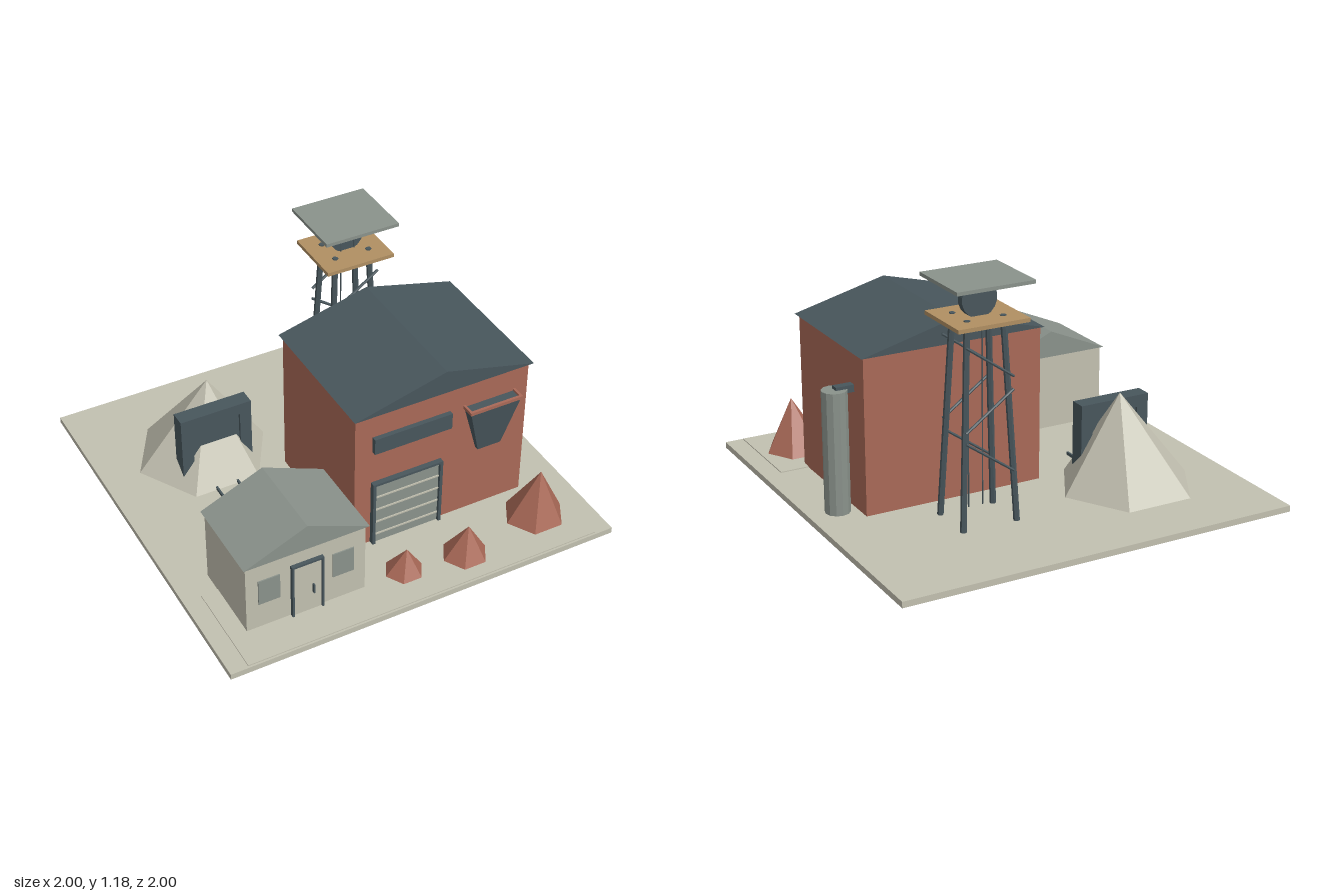
import * as THREE from 'three';

const paint = (name, color) => {
  const m = new THREE.MeshStandardMaterial({ color });
  m.name = name;
  return m;
};

export function createModel() {
  const root = new THREE.Group();
  root.name = 'miningYard';
  const stone = paint('pale stone', 0xc2c0b0);
  const rust = paint('rust red', 0xa96957);
  const slate = paint('dark slate', 0x48565c);
  const zinc = paint('grey zinc', 0x8a928b);
  const timber = paint('tan timber', 0xb08f62);

  const group = (name) => {
    const g = new THREE.Group();
    g.name = name;
    root.add(g);
    return g;
  };
  const add = (parent, name, geo, mat) => {
    const mesh = new THREE.Mesh(geo, mat);
    mesh.name = name;
    parent.add(mesh);
    return mesh;
  };
  const faceted = (geo) => {
    const g = geo.index ? geo.toNonIndexed() : geo;
    g.computeVertexNormals();
    return g;
  };
  // Box given by its two extremes on each axis
  const box = (parent, name, mat, x0, x1, y0, y1, z0, z1) => {
    const geo = new THREE.BoxGeometry(x1 - x0, y1 - y0, z1 - z0);
    geo.translate((x0 + x1) / 2, (y0 + y1) / 2, (z0 + z1) / 2);
    return add(parent, name, geo, mat);
  };
  // Solid gable roof with its ridge along z
  const gable = (parent, name, mat, x0, x1, y0, y1, z0, z1) => {
    const s = new THREE.Shape();
    s.moveTo(x0, y0);
    s.lineTo(x1, y0);
    s.lineTo((x0 + x1) / 2, y1);
    s.closePath();
    const geo = new THREE.ExtrudeGeometry(s, { depth: z1 - z0, bevelEnabled: false });
    geo.translate(0, 0, z0);
    return add(parent, name, geo, mat);
  };
  // Straight bar between two points
  const bar = (parent, name, mat, a, b, r, sides = 6) => {
    const from = new THREE.Vector3(...a), to = new THREE.Vector3(...b);
    const dir = to.clone().sub(from);
    const geo = faceted(new THREE.CylinderGeometry(r, r, dir.length(), sides));
    const m = add(parent, name, geo, mat);
    m.position.copy(from).add(to).multiplyScalar(0.5);
    m.quaternion.setFromUnitVectors(new THREE.Vector3(0, 1, 0), dir.normalize());
    return m;
  };
  // Six-sided heap whose peak leans slightly off centre
  const heap = (parent, name, mat, x, z, r, top) => {
    const h = top - 0.03;
    const geo = new THREE.ConeGeometry(r, h, 6, 1);
    geo.rotateY(Math.PI / 6);
    geo.translate(0, h / 2, 0);
    const p = geo.attributes.position;
    for (let i = 0; i < p.count; i++) {
      const t = p.getY(i) / h;
      p.setX(i, p.getX(i) + 0.09 * r * t);
      p.setZ(i, p.getZ(i) + 0.075 * r * t);
    }
    add(parent, name, faceted(geo), mat).position.set(x, 0.03, z);
  };

  // Ground slab and front track
  const ground = group('ground');
  box(ground, 'slab', stone, -1, 1, 0, 0.03, -1, 1);
  box(ground, 'frontTrack', stone, -0.91, 0.91, 0.03, 0.035, 0.5, 0.99);

  // Main works building
  const works = group('worksBuilding');
  box(works, 'walls', rust, -0.145, 0.765, 0.03, 0.8, -0.16, 0.548);
  gable(works, 'roof', slate, -0.158, 0.78, 0.798, 0.918, -0.178, 0.568);
  box(works, 'highWindow', slate, -0.055, 0.35, 0.58, 0.665, 0.545, 0.572);
  box(works, 'shutterJambLeft', slate, 0.295, 0.31, 0.03, 0.4, 0.545, 0.575);
  box(works, 'shutterJambRight', slate, -0.06, -0.045, 0.03, 0.4, 0.545, 0.575);
  box(works, 'shutterLintel', slate, -0.045, 0.295, 0.388, 0.4, 0.545, 0.575);
  box(works, 'shutter', zinc, -0.045, 0.295, 0.03, 0.388, 0.545, 0.56);
  for (const y of [0.085, 0.16, 0.235, 0.31])
    box(works, 'shutterSlat', stone, -0.045, 0.295, y - 0.004, y + 0.004, 0.558, 0.565);

  // Tapered hopper on the front wall
  const hopper = group('hopper');
  const hopperGeo = new THREE.BoxGeometry(1, 1, 1);
  const hp = hopperGeo.attributes.position;
  for (let i = 0; i < hp.count; i++) {
    const up = hp.getY(i) > 0, out = hp.getZ(i) > 0;
    hp.setXYZ(i, 0.56 + Math.sign(hp.getX(i)) * (up ? 0.135 : 0.062),
      up ? 0.658 : 0.395, out ? (up ? 0.61 : 0.572) : 0.54);
  }
  add(hopper, 'hopperBody', faceted(hopperGeo), slate);
  box(hopper, 'rimFront', rust, 0.42, 0.7, 0.654, 0.67, 0.603, 0.617);
  for (const x of [0.42, 0.688])
    box(hopper, 'rimSide', rust, x, x + 0.012, 0.654, 0.67, 0.545, 0.603);

  // Silo and feed duct
  const silo = group('silo');
  bar(silo, 'siloDrum', zinc, [0.855, 0.03, -0.04], [0.855, 0.625, -0.04], 0.061, 12);
  box(silo, 'feedDuct', slate, 0.76, 0.855, 0.605, 0.64, -0.06, -0.02);

  // Small office hut
  const hut = group('hut');
  box(hut, 'walls', stone, -0.825, -0.228, 0.03, 0.418, 0.392, 0.802);
  gable(hut, 'roof', zinc, -0.838, -0.215, 0.416, 0.55, 0.378, 0.818);
  box(hut, 'door', stone, -0.595, -0.455, 0.03, 0.325, 0.8, 0.812);
  for (const x of [-0.605, -0.455])
    box(hut, 'doorJamb', slate, x, x + 0.01, 0.03, 0.335, 0.8, 0.822);
  box(hut, 'doorLintel', slate, -0.595, -0.455, 0.325, 0.335, 0.8, 0.822);
  box(hut, 'doorHandle', slate, -0.5, -0.493, 0.14, 0.19, 0.81, 0.826);
  for (const x of [-0.765, -0.395])
    box(hut, 'window', zinc, x, x + 0.107, 0.175, 0.312, 0.8, 0.808);

  // Ore heaps
  const heaps = group('oreHeaps');
  heap(heaps, 'smallHeap', rust, -0.015, 0.79, 0.098, 0.165);
  heap(heaps, 'mediumHeap', rust, 0.29, 0.825, 0.115, 0.205);
  heap(heaps, 'largeHeap', rust, 0.725, 0.745, 0.152, 0.3);

  // Spoil hill with mine portal and rails
  const mine = group('mine');
  heap(mine, 'spoilHill', stone, -0.475, -0.415, 0.337, 0.49);
  box(mine, 'portalLintel', slate, -0.66, -0.29, 0.36, 0.42, -0.305, -0.225);
  for (const x of [-0.66, -0.35])
    box(mine, 'portalPost', slate, x, x + 0.06, 0.03, 0.36, -0.305, -0.225);
  box(mine, 'portalMouth', slate, -0.6, -0.35, 0.03, 0.36, -0.29, -0.24);
  for (const x of [-0.53, -0.418])
    box(mine, 'rail', slate, x - 0.005, x + 0.005, 0.03, 0.045, -0.28, 0.03);

  // Winding tower
  const tower = group('windingTower');
  const cx = 0.323, cz = -0.413;
  for (const sx of [-1, 1]) {
    for (const sz of [-1, 1])
      bar(tower, 'leg', slate, [cx + sx * 0.137, 0.03, cz + sz * 0.112],
        [cx + sx * 0.09, 1.008, cz + sz * 0.068], 0.015);
    bar(tower, 'cable', slate, [cx + sx * 0.036, 0.08, -0.388], [cx + sx * 0.036, 1.06, -0.388], 0.003);
  }
  for (const sz of [-1, 1])
    [0.28, 0.5, 0.73].forEach((y, i) => {
      const s = i % 2 ? -1 : 1;
      bar(tower, 'brace', slate, [cx - s * 0.12, y, cz + sz * 0.112],
        [cx + s * 0.12, y + 0.17, cz + sz * 0.112], 0.007);
    });
  box(tower, 'platform', timber, 0.145, 0.502, 0.985, 1.004, -0.57, -0.252);
  bar(tower, 'windingWheel', slate, [cx, 1.08, cz - 0.02], [cx, 1.08, cz + 0.02], 0.088, 18);
  box(tower, 'canopy', zinc, 0.13, 0.517, 1.163, 1.18, -0.589, -0.238);

  return root;
}
